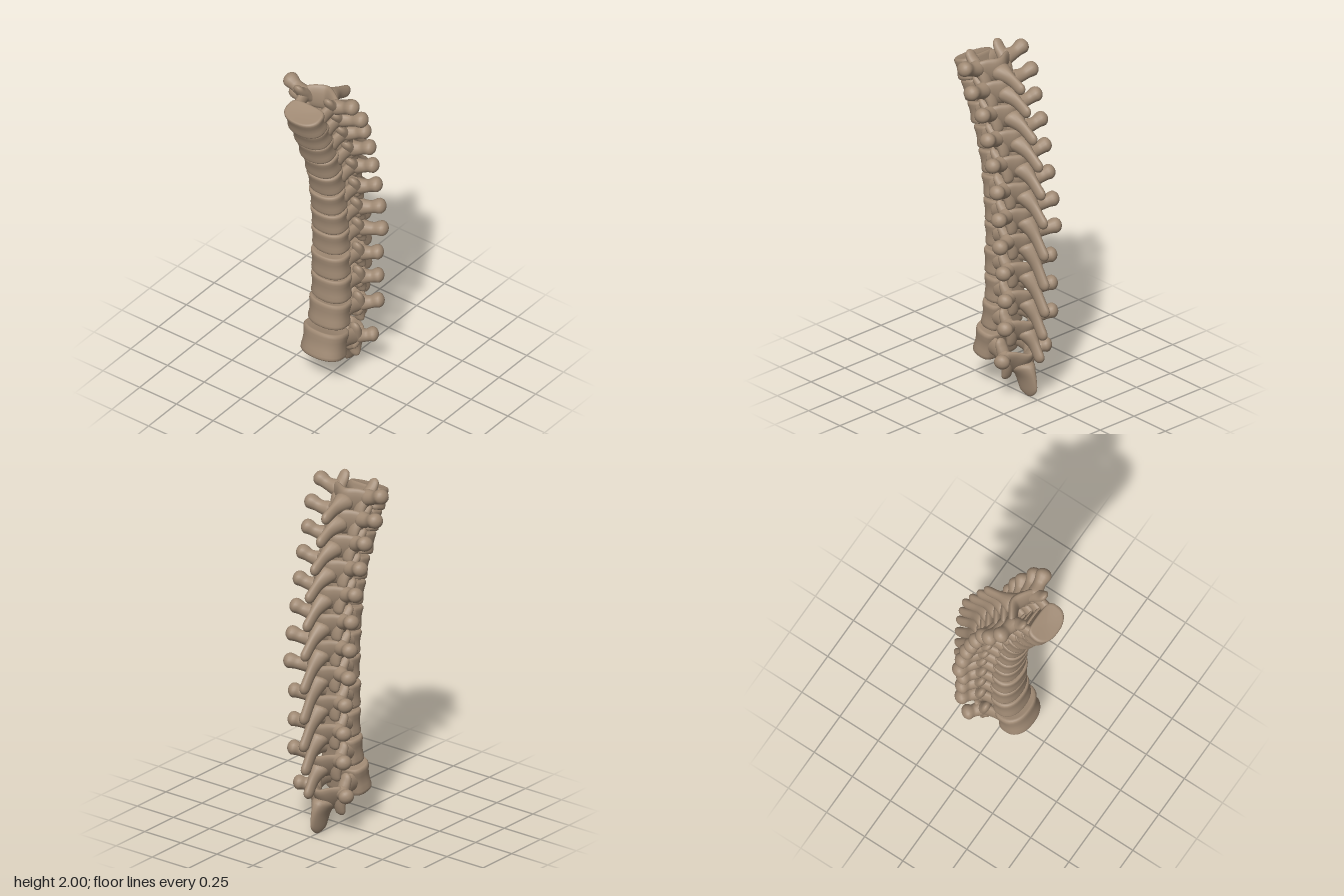
import * as THREE from 'three';

const V = (x, y, z) => new THREE.Vector3(x, y, z);

// Joins closed rings of points into one smooth surface.
function loft(rings) {
  const n = rings[0].length, pos = [], idx = [];
  rings.forEach(r => r.forEach(p => pos.push(p.x, p.y, p.z)));
  for (let i = 0; i < rings.length - 1; i++) {
    for (let j = 0; j < n; j++) {
      const k = (j + 1) % n, a = i * n, b = a + n;
      idx.push(a + j, a + k, b + j, a + k, b + k, b + j);
    }
  }
  const g = new THREE.BufferGeometry();
  g.setAttribute('position', new THREE.Float32BufferAttribute(pos, 3));
  g.setIndex(idx);
  g.computeVertexNormals();
  return g;
}

// Sweeps an ellipse along points [x, y, z, halfWidth, halfHeight] with rounded ends.
function sweep(points, up, steps = 22, cap = 0.03, sides = 16) {
  const curve = new THREE.CatmullRomCurve3(points.map(p => V(p[0], p[1], p[2])), false, 'centripetal');
  const size = new THREE.CatmullRomCurve3(points.map(p => V(p[3], p[4], 0)), false, 'catmullrom', 0.5);
  const len = curve.getLength(), e = Math.min(0.45, cap / len), rings = [];
  for (let i = 0; i <= steps; i++) {
    const u = 0.5 - 0.5 * Math.cos(Math.PI * i / steps); // denser at the ends
    const t = curve.getUtoTmapping(u);
    const c = curve.getPoint(t), d = curve.getTangent(t), s = size.getPoint(t);
    const b = up.clone().addScaledVector(d, -up.dot(d)).normalize();
    const a = b.clone().cross(d);
    const q = Math.max(0, 1 - Math.min(u, 1 - u) / e);
    const round = Math.max(0.01, Math.sqrt(1 - q * q));
    const ring = [];
    for (let j = 0; j < sides; j++) {
      const w = j / sides * Math.PI * 2;
      ring.push(c.clone().addScaledVector(a, s.x * round * Math.cos(w))
        .addScaledVector(b, s.y * round * Math.sin(w)));
    }
    rings.push(ring);
  }
  return loft(rings);
}

// Waisted drum with dished ends, a rounded front and a slightly hollow back.
function bodyGeometry(w, d, h) {
  const profile = [[0.002, -0.9], [0.55, -0.92], [0.84, -0.99], [0.94, -0.98], [0.99, -0.88], [1, -0.7],
    [0.96, -0.35], [0.945, 0], [0.96, 0.35], [1, 0.7], [0.99, 0.88], [0.94, 0.98], [0.84, 0.99],
    [0.55, 0.92], [0.002, 0.9]];
  const pow = (v, p) => Math.sign(v) * Math.abs(v) ** p;
  return loft(profile.map(([k, y]) => {
    const ring = [];
    for (let j = 0; j < 32; j++) {
      const t = j / 32 * Math.PI * 2, c = Math.cos(t);
      const z = c < 0 ? pow(c, 0.65) + 0.18 * Math.max(0, -c - 0.6) / 0.4 : pow(c, 0.92);
      ring.push(V(k * w * pow(Math.sin(t), 0.88), h * y, k * d * z));
    }
    return ring;
  }));
}

// Each row: body y, z, tilt, half width, half depth, half height,
// side wing tip x, y, z, rear spine tip y, z
const LEVELS = [
  [1.86, 0.25, 0.33, 0.117, 0.08, 0.061, 0.245, 1.96, 0.1, 1.825, -0.14],
  [1.75, 0.20, 0.33, 0.112, 0.079, 0.06, 0.257, 1.84, 0.03, 1.70, -0.185],
  [1.63, 0.155, 0.28, 0.107, 0.079, 0.062, 0.23, 1.72, -0.035, 1.55, -0.235],
  [1.50, 0.105, 0.26, 0.104, 0.079, 0.064, 0.232, 1.585, -0.075, 1.40, -0.28],
  [1.365, 0.07, 0.23, 0.104, 0.078, 0.066, 0.227, 1.44, -0.11, 1.235, -0.297],
  [1.22, 0.05, 0.17, 0.104, 0.078, 0.066, 0.224, 1.29, -0.145, 1.065, -0.314],
  [1.08, 0.035, 0.12, 0.107, 0.078, 0.066, 0.232, 1.13, -0.17, 0.87, -0.318],
  [0.94, 0.025, 0.08, 0.11, 0.079, 0.068, 0.237, 0.968, -0.185, 0.69, -0.318],
  [0.775, 0.025, 0.04, 0.114, 0.081, 0.072, 0.207, 0.80, -0.182, 0.53, -0.322],
  [0.615, 0.02, 0, 0.117, 0.083, 0.074, 0.202, 0.635, -0.193, 0.385, -0.304],
  [0.45, 0.035, -0.1, 0.122, 0.086, 0.077, 0.202, 0.47, -0.195, 0.24, -0.28],
  [0.27, 0.08, -0.2, 0.131, 0.094, 0.082, 0.19, 0.25, -0.16, 0.005, -0.188],
];

export function createModel() {
  const model = new THREE.Group();
  model.name = 'spineSection';
  const bone = new THREE.MeshStandardMaterial({ color: 0xa08a74 });
  bone.name = 'bone';
  const X = V(1, 0, 0), Y = V(0, 1, 0);

  LEVELS.forEach(([cy, cz, tilt, w, d, h, tx, ty, tz, sy, sz], i) => {
    const last = i === 11, k = last ? 1.2 : i === 10 ? 1.08 : 1;
    const facet = i === 0 ? 0.116 : 0.1;
    const vertebra = new THREE.Group();
    vertebra.name = 'vertebra' + (i + 1);
    vertebra.position.set(0, cy, cz);
    vertebra.rotation.x = tilt;
    const add = (name, geometry) => {
      const mesh = new THREE.Mesh(geometry, bone);
      mesh.name = name;
      vertebra.add(mesh);
    };
    const local = (x, y, z) => V(x, y - cy, z - cz).applyAxisAngle(X, -tilt);

    add('body', bodyGeometry(w, d, h));

    // Paired parts of the arch
    for (const s of [1, -1]) {
      const side = s > 0 ? 'left' : 'right';
      add(side + 'Pedicle', sweep([
        [s * 0.075, 0.008, -0.025, 0.036, 0.052 * k], [s * 0.088, 0.014, -0.08 * k, 0.026, 0.043 * k],
        [s * 0.095, 0.015, -0.145 * k, 0.032, 0.05 * k]], Y, 16, 0.02));
      add(side + 'ArticularColumn', sweep([
        [s * 0.103, facet, -0.1 * k, 0.026, 0.016], [s * 0.1, 0.065, -0.112 * k, 0.034, 0.024],
        [s * 0.096, 0.015, -0.135 * k, 0.036, 0.034], [s * 0.083, -0.05 * k, -0.158 * k, 0.035, 0.025],
        [s * 0.078, -0.11 * k, -0.162 * k, 0.033, 0.016]], V(0, 0, 1), 20, 0.025));
      const t = local(s * tx, ty, tz);
      const root = V(s * 0.08, 0.005, -0.137 * k);
      const mid = root.clone().lerp(t, 0.5);
      const near = root.clone().lerp(t, 0.76);
      add(side + 'TransverseWing', sweep([
        [root.x, root.y, root.z, 0.05, 0.056], [mid.x, mid.y - 0.006, mid.z, 0.035, 0.036],
        [near.x, near.y, near.z, 0.045, 0.042], [t.x, t.y, t.z, 0.047, 0.045]], Y, 24, 0.04));
    }

    // Sloping plate that closes the arch
    const lam = (x, y, z, a, b) => [x, y * k, z * k, a, b * k];
    add('lamina', sweep([
      lam(-0.12, 0, -0.135, 0.024, 0.05), lam(-0.065, -0.015, -0.165, 0.024, 0.07),
      lam(0, -0.03, -0.192, 0.028, 0.075), lam(0.065, -0.015, -0.165, 0.024, 0.07),
      lam(0.12, 0, -0.135, 0.024, 0.05)], V(0, 1, -0.5), 26, 0.02));

    // Rear spine, flaring into the lamina; the lowest is a tall thin blade
    const tip = local(0, sy, sz), start = V(0, -0.03 * k, -0.18 * k);
    const at = (u, lift, a, b) => {
      const p = start.clone().lerp(tip, u);
      return [0, p.y + lift, p.z - lift * 0.3, a, b];
    };
    const blade = last ? [0.06, 0.075, 0.078, 0.07, 0.045] : [0.055, 0.05, 0.039, 0.036, 0.039];
    add('rearSpine', sweep([
      at(0, 0, 0.078, blade[0]), at(0.22, 0.008, 0.052, blade[1]), at(0.5, 0.01, 0.027, blade[2]),
      at(0.8, 0.005, last ? 0.016 : 0.024, blade[3]), at(1, 0, last ? 0.012 : 0.027, blade[4])],
    V(0, 1, -0.6), 28, 0.04));

    model.add(vertebra);
  });
  return model;
}
